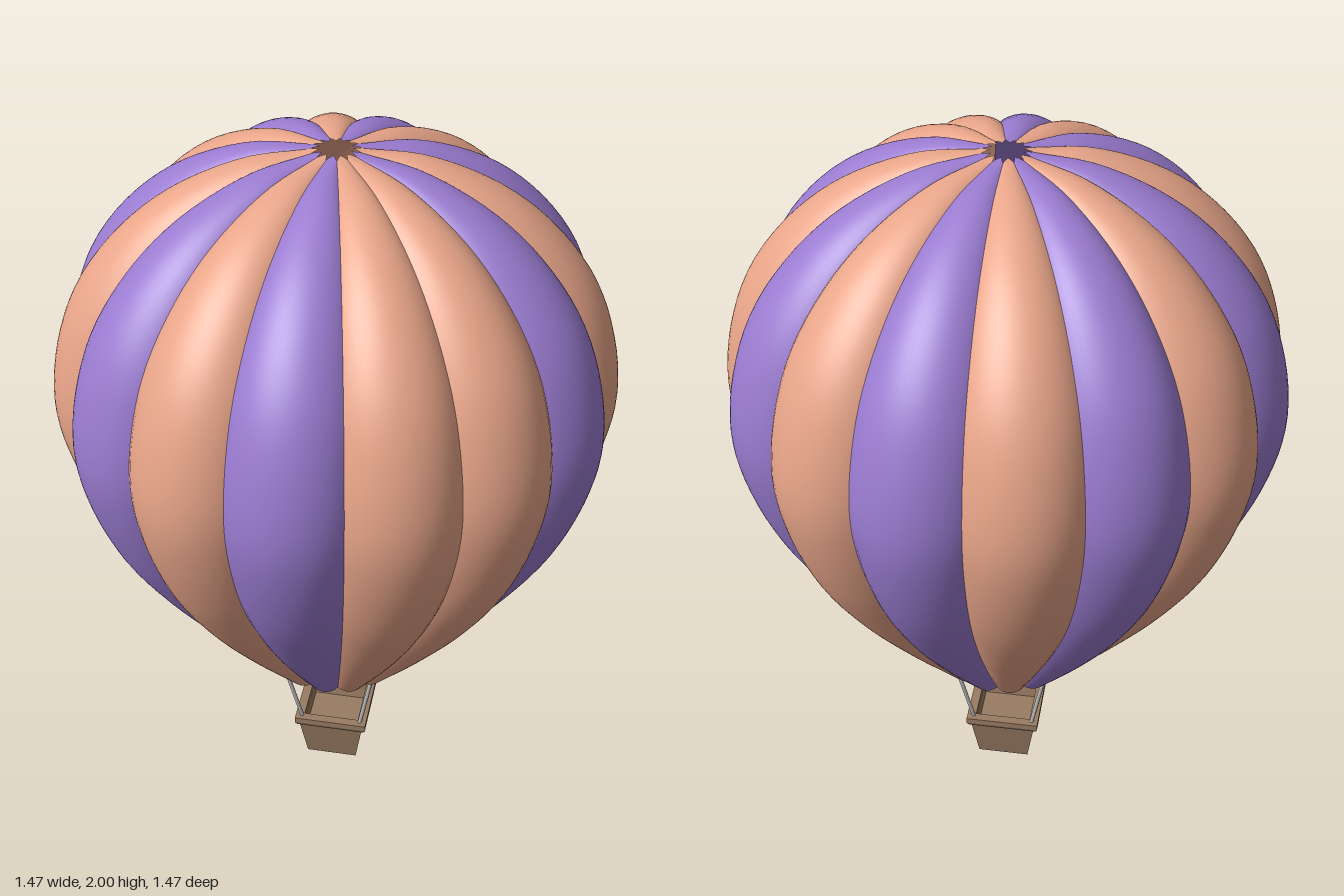
import * as THREE from 'three';
import { ParametricGeometry } from 'three/addons/geometries/ParametricGeometry.js';

const GORES = 15;
const STEP = (Math.PI * 2) / GORES;
const AXIS_Z = -0.008;
const mat = (color, opts = {}) => new THREE.MeshStandardMaterial({ color, ...opts });
const purple = mat(0x9a7bd0, { side: THREE.DoubleSide });
const orange = mat(0xe8a589, { side: THREE.DoubleSide });
const wicker = mat(0x9a7c63, { flatShading: true });
const ropeGrey = mat(0xcccccc);

function add(parent, name, geometry, material) {
  const mesh = new THREE.Mesh(geometry, material);
  mesh.name = name;
  parent.add(mesh);
  return mesh;
}

function group(parent, name) {
  const g = new THREE.Group();
  g.name = name;
  parent.add(g);
  return g;
}

// Seam line of the envelope: radius, height
const seam = new THREE.CatmullRomCurve3([
  [0.188, 0.388], [0.36, 0.618], [0.5, 0.823], [0.606, 1.015], [0.669, 1.2], [0.688, 1.335],
  [0.668, 1.49], [0.616, 1.635], [0.517, 1.774], [0.393, 1.88], [0.22, 1.963], [0.063, 1.992],
].map(([r, y]) => new THREE.Vector3(r, y, 0)));

// One fabric panel, a circular bulge between its two seams, flatter and pointed at the crown
function goreGeometry() {
  const half = STEP / 2;
  const sag = 0.47;
  const arc = (1 + sag * sag) / (2 * sag);
  return new ParametricGeometry((u, v, target) => {
    const s = u * 2 - 1;
    const p = seam.getPoint(v);
    const t = seam.getTangent(v);
    const chord = p.x * Math.sin(half);
    const bulge = chord * (Math.sqrt(arc * arc - s * s) - arc + sag) * (1 - 0.4 * v ** 4);
    const tip = 0.022 * (1 - Math.abs(s)) * Math.max(0, (v - 0.93) / 0.07);
    target.set(s * chord, p.y - t.x * bulge, p.x * Math.cos(half) + t.y * bulge - tip);
  }, 16, 48);
}

// Tapered basket wall, optionally with two footholds
function wallGeometry(footholds) {
  const lean = Math.atan2(0.022, 0.14);
  const h = 0.14 / Math.cos(lean);
  const shape = new THREE.Shape([[-0.075, 0], [0.075, 0], [0.097, h], [-0.097, h]]
    .map(([x, y]) => new THREE.Vector2(x, y)));
  if (footholds) {
    for (const [x, y] of [[0.025, 0.09], [-0.02, 0.05]]) {
      shape.holes.push(new THREE.Path().absellipse(x, y, 0.02, 0.012, 0, Math.PI * 2, true));
    }
  }
  return new THREE.ExtrudeGeometry(shape, { depth: 0.012, bevelEnabled: false, curveSegments: 8 })
    .translate(0, 0, -0.012).rotateX(lean).translate(0, 0, 0.075);
}

function rope(parent, from, to) {
  const dir = to.clone().sub(from);
  const mesh = add(parent, 'rope', new THREE.CylinderGeometry(0.006, 0.006, dir.length(), 8), ropeGrey);
  mesh.position.copy(from).addScaledVector(dir, 0.5);
  mesh.quaternion.setFromUnitVectors(new THREE.Vector3(0, 1, 0), dir.normalize());
}

export function createModel() {
  const model = new THREE.Group();
  model.name = 'hotAirBalloon';
  const body = group(model, 'balloon');
  body.position.z = AXIS_Z;

  // Envelope, open at the mouth and at the crown vent
  const envelope = group(body, 'envelope');
  const gore = goreGeometry();
  for (let i = 0; i < GORES; i++) {
    const isPurple = i === 0 || (i > 1 && i % 2 === 1);
    add(envelope, 'envelopePanel', gore, isPurple ? purple : orange).rotation.y = i * STEP;
  }

  // Basket walls, raised floor and flared rim
  const basket = group(body, 'basket');
  for (let i = 0; i < 4; i++) {
    add(basket, 'basketWall', wallGeometry(i === 3), wicker).rotation.y = (i * Math.PI) / 2;
  }
  const floor = new THREE.CylinderGeometry(0.08 * Math.SQRT2, 0.066 * Math.SQRT2, 0.098, 4);
  add(basket, 'basketFloor', floor.rotateY(Math.PI / 4).translate(0, 0.05, 0), wicker);
  const rimProfile = [[0.082, 0.132], [0.102, 0.132], [0.108, 0.144], [0.108, 0.162], [0.082, 0.162], [0.082, 0.132]]
    .map(([r, y]) => new THREE.Vector2(r * Math.SQRT2, y));
  add(basket, 'basketRim', new THREE.LatheGeometry(rimProfile, 4, Math.PI / 4), wicker);

  // Ropes from the rim corners to the envelope mouth
  const ropes = group(body, 'ropes');
  for (const sx of [-1, 1]) {
    for (const sz of [-1, 1]) {
      rope(ropes, new THREE.Vector3(sx * 0.085, 0.14, sz * 0.085),
        new THREE.Vector3(sx * 0.131, 0.395, sz * 0.131));
    }
  }
  return model;
}
